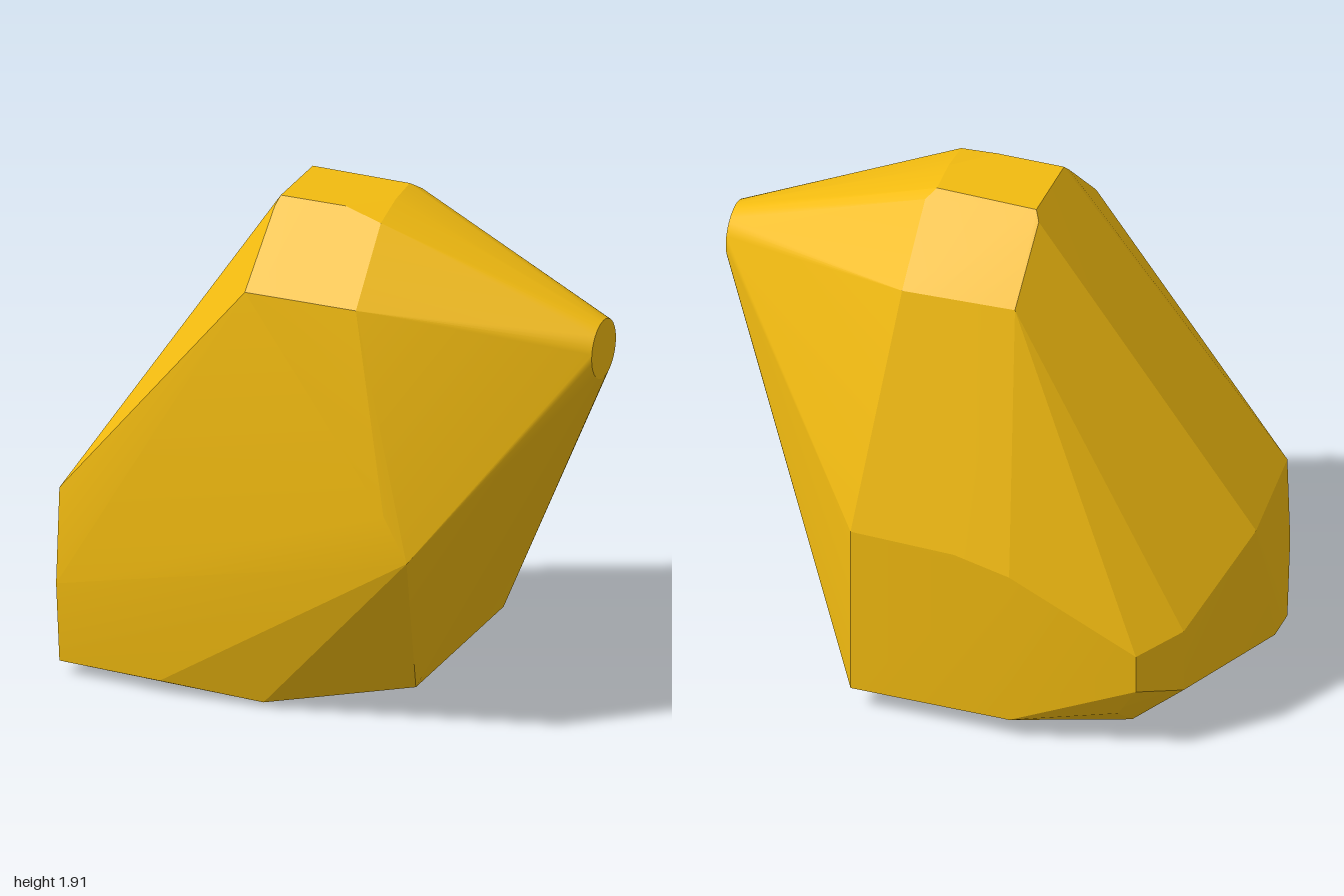
import * as THREE from 'three';
import { ConvexGeometry } from 'three/addons/geometries/ConvexGeometry.js';
import { toCreasedNormals } from 'three/addons/utils/BufferGeometryUtils.js';

export function createModel() {
  const group = new THREE.Group();
  const material = new THREE.MeshStandardMaterial({ color: 0xf2bb10 });

  const points = [];
  const add = (...corners) => corners.forEach((c) => points.push(new THREE.Vector3(...c)));

  // Flat top and its chamfered shoulders
  add([-0.19, 1.91, -0.06], [-0.19, 1.91, 0.23], [0.06, 1.91, 0.23], [0.2, 1.91, 0.1], [0.19, 1.91, -0.05]);
  add([-0.2, 1.88, 0.26], [0.21, 1.88, 0.26], [0.22, 1.88, -0.09], [-0.21, 1.88, -0.09]);
  add([-0.21, 1.64, 0.51], [0.22, 1.64, 0.51], [-0.21, 1.66, -0.34], [0.21, 1.66, -0.36]);

  // Round flat end of the nose
  const sides = 40;
  for (let i = 0; i < sides; i++) {
    const a = (i / sides) * Math.PI * 2;
    add([1, 1.46 + 0.11 * Math.sin(a), 0.09 + 0.11 * Math.cos(a)]);
  }

  // Front bulge
  add([0.45, 0.73, 0.59], [0.36, 0.9, 0.59]);

  // Upright back wall
  add([0.32, 0.75, -0.595], [-0.07, 0.74, -0.595], [-0.28, 0.69, -0.595], [-0.28, 0.08, -0.595], [0.32, 0.08, -0.595]);

  // Rounded rear corner
  add([-0.74, 0.42, -0.54], [-0.74, 0.27, -0.54], [-0.87, 0.47, -0.4], [-0.87, 0.22, -0.4], [-0.65, 0.12, -0.48]);

  // Far side wall
  add([-1, 0.68, 0], [-0.97, 0.72, 0.41], [-0.97, 0.36, 0.44], [-0.97, 0.05, 0.41], [-0.97, 0.05, 0.28]);

  // Underside
  add([-0.65, 0, -0.33], [-0.5, 0, 0.25], [-0.57, 0.05, 0.44], [-0.18, 0.02, 0.41], [0.32, 0.08, 0.2]);

  const body = new THREE.Mesh(toCreasedNormals(new ConvexGeometry(points), 0.2), material);
  body.name = 'body';
  group.add(body);
  return group;
}
